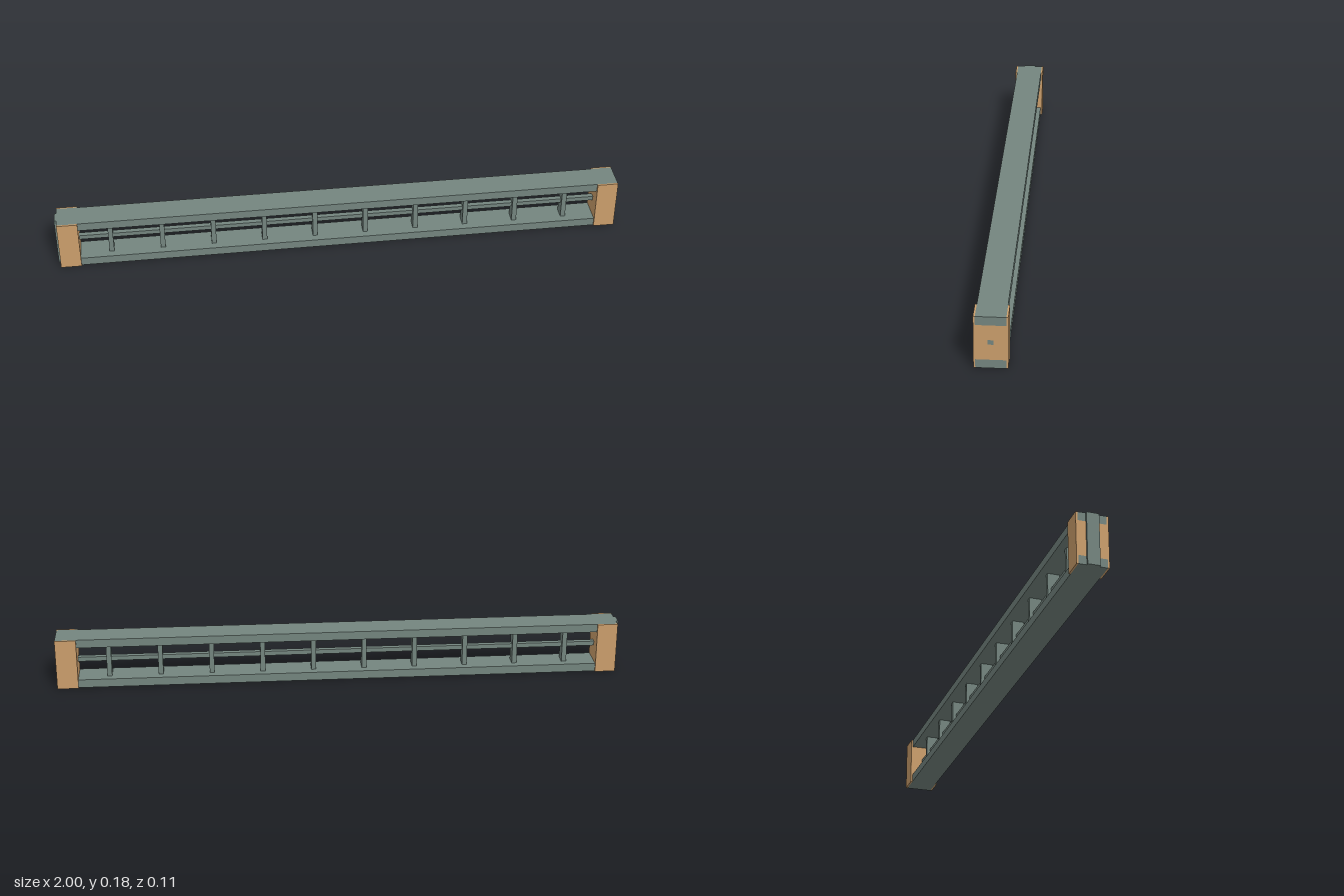
import * as THREE from 'three';

export function createModel() {
  const model = new THREE.Group();
  const steel = new THREE.MeshStandardMaterial({ color: 0x74857f });
  const wood = new THREE.MeshStandardMaterial({ color: 0xcc9f6c });
  const H = 0.182, LEFT = -0.992, RIGHT = 1;
  const flangeT = 0.03, flangeZ = 0.048, blockZ = 0.054;
  const rodY = 0.092, rodW = 0.018, rodH = 0.016;

  function box(name, x0, x1, y0, y1, halfZ) {
    const mesh = new THREE.Mesh(new THREE.BoxGeometry(x1 - x0, y1 - y0, halfZ * 2), steel);
    mesh.position.set((x0 + x1) / 2, (y0 + y1) / 2, 0);
    mesh.name = name;
    model.add(mesh);
  }

  // Long top and bottom flanges and the rod running between them
  box('bottomFlange', LEFT, RIGHT, 0, flangeT, flangeZ);
  box('topFlange', LEFT, RIGHT, H - flangeT, H, flangeZ);
  box('centreRod', LEFT, RIGHT, rodY - rodH / 2, rodY + rodH / 2, rodW / 2);

  // Evenly spaced struts; the first stands proud of the end block at full height
  for (let i = 0; i <= 10; i++) {
    const x = -0.9915 + i * 0.1808;
    const inset = i === 0 ? 0 : 0.01;
    box('strut', x - 0.0085, x + 0.0085, inset, H - inset, 0.021);
  }

  // End blocks, notched for the flanges and bored for the rod
  const profile = new THREE.Shape([
    [-blockZ, 0], [-flangeZ, 0], [-flangeZ, flangeT], [flangeZ, flangeT], [flangeZ, 0], [blockZ, 0],
    [blockZ, H], [flangeZ, H], [flangeZ, H - flangeT], [-flangeZ, H - flangeT], [-flangeZ, H], [-blockZ, H],
  ].map(([z, y]) => new THREE.Vector2(z, y)));
  profile.holes.push(new THREE.Path([[-1, -1], [-1, 1], [1, 1], [1, -1]].map(
    ([z, y]) => new THREE.Vector2(z * rodW / 2, rodY + y * rodH / 2))));

  for (const [name, x0, x1] of [['rightEndBlock', LEFT, -0.92], ['leftEndBlock', 0.926, RIGHT]]) {
    const geometry = new THREE.ExtrudeGeometry(profile, { depth: x1 - x0, bevelEnabled: false });
    geometry.rotateY(Math.PI / 2);
    const block = new THREE.Mesh(geometry, wood);
    block.position.x = x0;
    block.name = name;
    model.add(block);
  }
  return model;
}
